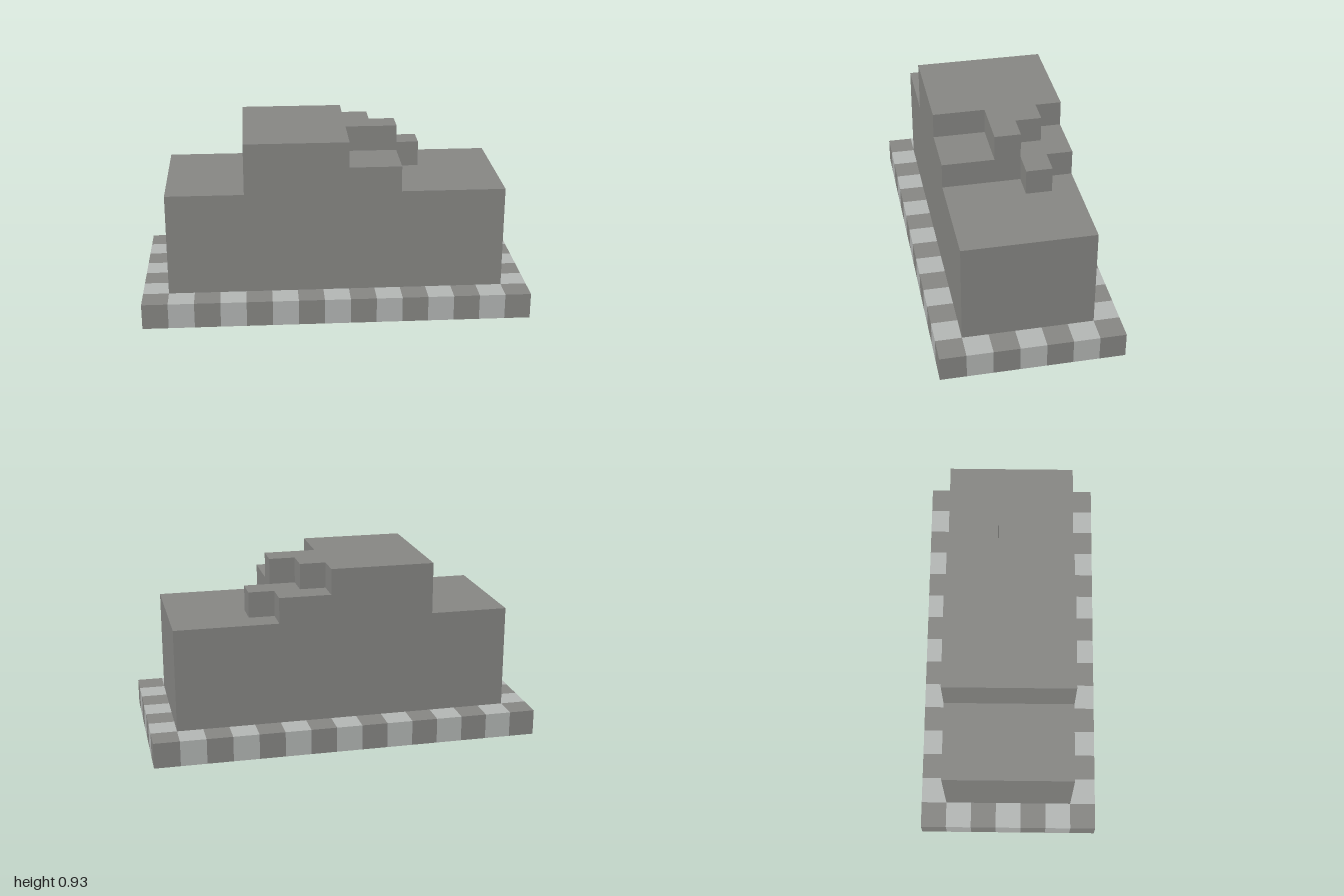
import * as THREE from 'three';
import { mergeGeometries } from 'three/addons/utils/BufferGeometryUtils.js';

const U = 2 / 15; // one block
const COLS = 15, ROWS = 7;
const X = (i) => (i - COLS / 2) * U;
const Z = (j) => (j - ROWS / 2) * U;

// Extrudes a floor plan, given in block corners, between two block levels
function layer(name, plan, from, to, material) {
  const shape = new THREE.Shape(plan.map(([i, j]) => new THREE.Vector2(X(i), -Z(j))));
  const geometry = new THREE.ExtrudeGeometry(shape, { depth: (to - from) * U, bevelEnabled: false });
  geometry.rotateX(-Math.PI / 2).translate(0, from * U, 0);
  const mesh = new THREE.Mesh(geometry, material);
  mesh.name = name;
  return mesh;
}

// One square block face, turned to its side of the block
function face(i, j, rx, ry) {
  return new THREE.PlaneGeometry(U, U)
    .translate(0, 0, U / 2)
    .rotateX(rx)
    .rotateY(ry)
    .translate(X(i + 0.5), U / 2, Z(j + 0.5));
}

export function createModel() {
  const model = new THREE.Group();
  model.name = 'blockBuilding';
  const stone = new THREE.MeshStandardMaterial({ color: 0x888885 });
  stone.name = 'stone grey';
  const pale = new THREE.MeshStandardMaterial({ color: 0xb5b8b6 });
  pale.name = 'pale grey';

  // Chequered base slab, outer faces only
  const tiles = [[], []];
  for (let i = 0; i < COLS; i++) {
    for (let j = 0; j < ROWS; j++) {
      const list = tiles[(i + j) % 2];
      list.push(face(i, j, -Math.PI / 2, 0), face(i, j, Math.PI / 2, 0));
      if (j === ROWS - 1) list.push(face(i, j, 0, 0));
      if (j === 0) list.push(face(i, j, 0, Math.PI));
      if (i === COLS - 1) list.push(face(i, j, 0, Math.PI / 2));
      if (i === 0) list.push(face(i, j, 0, -Math.PI / 2));
    }
  }
  const base = new THREE.Group();
  base.name = 'base';
  [['darkTiles', stone], ['paleTiles', pale]].forEach(([name, material], k) => {
    const mesh = new THREE.Mesh(mergeGeometries(tiles[k]), material);
    mesh.name = name;
    base.add(mesh);
  });
  model.add(base);

  // Main body and the two stepped layers on top
  model.add(
    layer('body', [[1, 1], [14, 1], [14, 6], [1, 6]], 1, 5, stone),
    layer('lowerStep', [[4, 1], [10, 1], [10, 2], [11, 2], [11, 3], [10, 3], [10, 6], [4, 6]], 5, 6, stone),
    layer('upperStep', [[4, 1], [8, 1], [8, 2], [9, 2], [9, 3], [10, 3], [10, 4], [8, 4], [8, 6], [4, 6]], 6, 7, stone),
  );
  return model;
}
